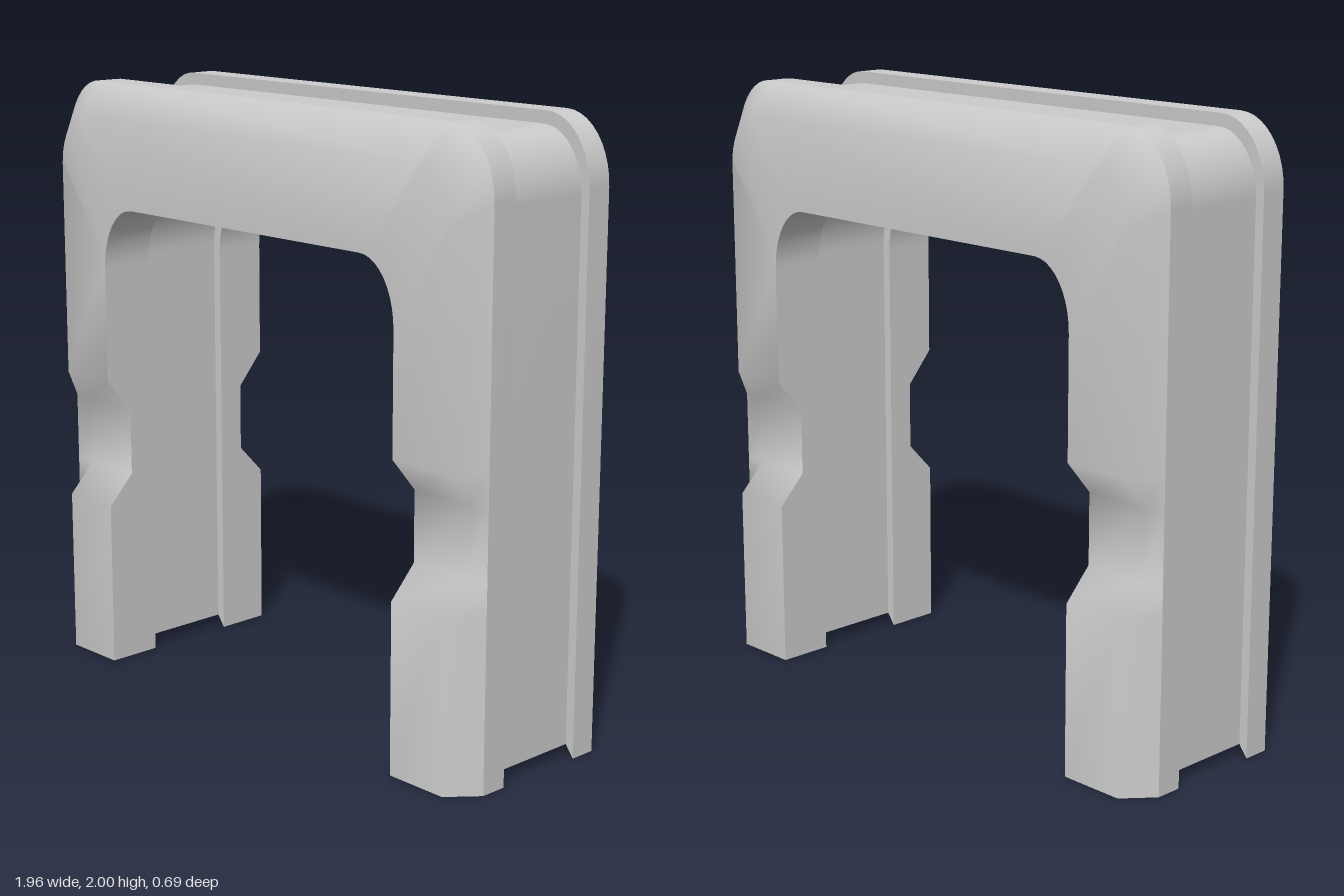
import * as THREE from 'three';

const ARC = 10;
const RIM = 0.25, CORE = 0.16, FACE = 0.345;

// U-shaped contour: up the -x leg, over the top, down the +x leg
function contour(w, top, rx, ry, foot) {
  const half = [foot, 0.56, 0.66, 0.89, 1.0].map(y => [w, y]);
  for (let i = 0; i <= ARC; i++) {
    const a = (i / ARC) * Math.PI / 2;
    half.push([w - rx + rx * Math.cos(a), top - ry + ry * Math.sin(a)]);
  }
  return [...half.map(([x, y]) => [-x, y]), ...half.slice().reverse()];
}

const outer = contour(0.98, 2.0, 0.17, 0.22, 0);
const bevel = contour(0.9, 1.89, 0.13, 0.17, 0);
const inner = contour(0.68, 1.6, 0.145, 0.21, 0);
const coreOuter = contour(0.95, 1.96, 0.15, 0.2, 0.04);
const coreInner = contour(0.71, 1.63, 0.16, 0.22, 0.04);
const N = outer.length;

// Depth of the broad faces: they drop to the rim at the waist of each leg
const faceDepth = i => {
  const k = Math.min(i, N - 1 - i);
  return k === 2 || k === 3 ? RIM : FACE;
};

// Smooth skin through rows of [contour, depth]
function skin(rows) {
  const pos = [], index = [];
  rows.forEach(([line, z]) => line.forEach(([x, y], i) =>
    pos.push(x, y, typeof z === 'function' ? z(i) : z)));
  for (let j = 0; j < rows.length - 1; j++) {
    for (let i = 0; i < N - 1; i++) {
      const a = j * N + i, b = a + N;
      index.push(a, b, b + 1, a, b + 1, a + 1);
    }
  }
  const g = new THREE.BufferGeometry();
  g.setAttribute('position', new THREE.Float32BufferAttribute(pos, 3));
  g.setIndex(index);
  g.computeVertexNormals();
  return g;
}

export function createModel() {
  const group = new THREE.Group();
  group.name = 'archFrame';
  // open-footed hollow shell
  const material = new THREE.MeshStandardMaterial({ color: 0xcccccc, side: THREE.DoubleSide });
  const add = (name, parent, rows) => {
    const mesh = new THREE.Mesh(skin(rows), material);
    mesh.name = name;
    parent.add(mesh);
  };

  // Recessed bands around the outside and inside of the arch
  add('outerChannel', group, [[coreOuter, -CORE], [coreOuter, CORE]]);
  add('innerChannel', group, [[coreInner, CORE], [coreInner, -CORE]]);

  // Front and back shells, mirrored in z
  for (const s of [1, -1]) {
    const shell = new THREE.Group();
    shell.name = s > 0 ? 'frontShell' : 'backShell';
    group.add(shell);
    const face = i => s * faceDepth(i);
    const part = (name, rows) => add(name, shell, s > 0 ? rows : rows.reverse());
    part('outerStep', [[coreOuter, s * CORE], [outer, s * CORE]]);
    part('outerRim', [[outer, s * CORE], [outer, s * RIM]]);
    part('bevelledFace', [[outer, s * RIM], [bevel, face], [inner, face]]);
    part('innerRim', [[inner, face], [inner, s * CORE]]);
    part('innerStep', [[inner, s * CORE], [coreInner, s * CORE]]);
  }
  return group;
}
